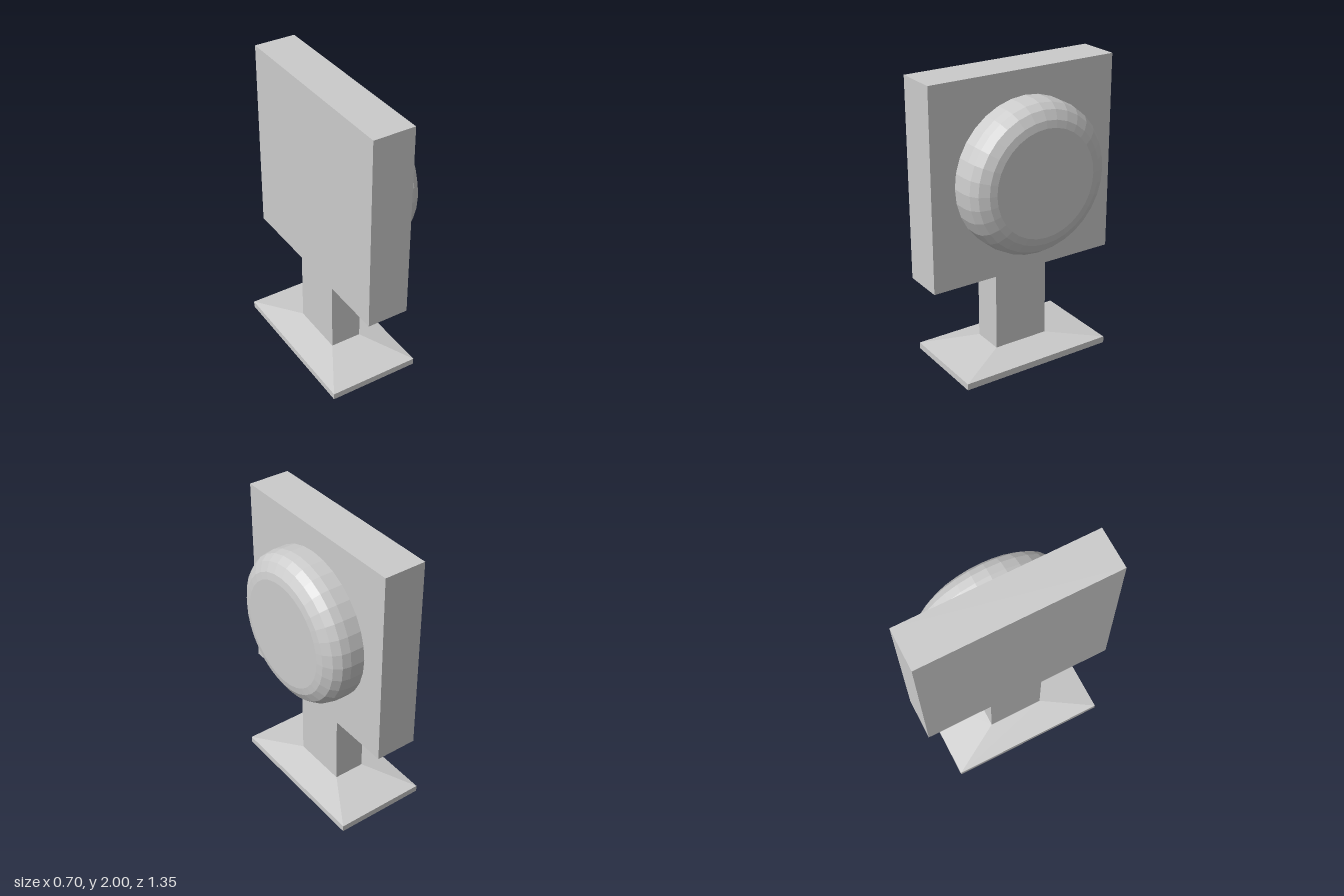
import * as THREE from 'three';

const material = new THREE.MeshStandardMaterial({ color: 0xcccccc, flatShading: true });

function createPart(name, geometry, x, y, z) {
  const mesh = new THREE.Mesh(geometry, material);
  mesh.name = name;
  mesh.position.set(x, y, z);
  return mesh;
}

// Box given by its x range, y range and full depth, centred on z = 0
function block(name, x0, x1, y0, y1, depth) {
  return createPart(name, new THREE.BoxGeometry(x1 - x0, y1 - y0, depth), (x0 + x1) / 2, (y0 + y1) / 2, 0);
}

export function createModel() {
  const model = new THREE.Group();

  // Flat foot, and a hipped slope that narrows to the post
  model.add(block('basePlate', -0.355, 0.28, 0, 0.045, 1.1));
  const slope = block('baseSlope', -0.355, 0.28, 0.045, 0.098, 1.1);
  const p = slope.geometry.attributes.position;
  for (let i = 0; i < p.count; i++) {
    if (p.getY(i) > 0) {
      p.setX(i, Math.sign(p.getX(i)) * 0.109 - 0.002);
      p.setZ(i, Math.sign(p.getZ(i)) * 0.196);
    }
  }
  slope.geometry.computeVertexNormals();
  model.add(slope);

  // Upright post and square panel
  model.add(block('post', -0.149, 0.07, 0.098, 0.65, 0.392));
  model.add(block('panel', -0.18, 0.106, 0.65, 2, 1.352));

  // Round cushion with a rolled rim, turned to face +x
  const profile = [
    [0.51, 0], [0.51, 0.096], [0.499, 0.152], [0.466, 0.2], [0.408, 0.235], [0.36, 0.244], [0, 0.244],
  ].map(([r, h]) => new THREE.Vector2(r, h));
  const dome = createPart('roundCushion', new THREE.LatheGeometry(profile, 32), 0.106, 1.325, 0);
  dome.rotation.z = -Math.PI / 2;
  model.add(dome);

  return model;
}
